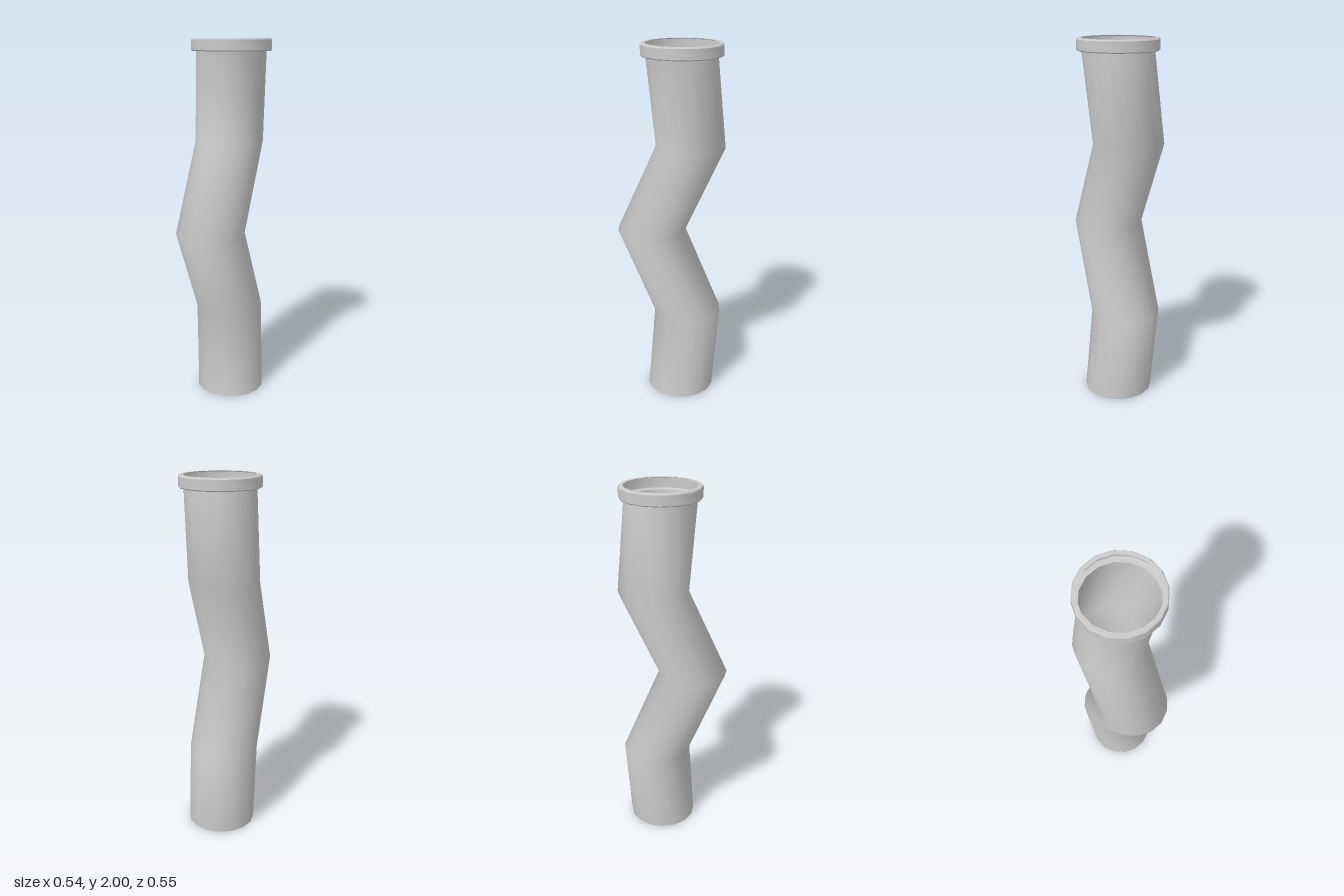
import * as THREE from 'three';
import { mergeVertices, toCreasedNormals } from 'three/addons/utils/BufferGeometryUtils.js';

const SIDES = 16;
const RADIUS = 0.19;
const material = new THREE.MeshStandardMaterial({ color: 0xcccccc, side: THREE.DoubleSide });

// Centre of each level ring of the bent pipe, from floor to neck
const path = [
  [0.053, 0, -0.026],
  [0.053, 0.485, -0.07],
  [-0.083, 0.967, 0.085],
  [0.053, 1.45, -0.085],
  [0.053, 1.935, -0.026],
].map((p) => new THREE.Vector3(...p));

// Straight open tube whose rings are slid sideways onto the path
function bentPipe() {
  const profile = path.map((p) => new THREE.Vector2(RADIUS, p.y));
  let geometry = new THREE.LatheGeometry(profile, SIDES);
  const pos = geometry.attributes.position;
  for (let i = 0; i < pos.count; i++) {
    const centre = path[i % path.length];
    pos.setXYZ(i, pos.getX(i) + centre.x, pos.getY(i), pos.getZ(i) + centre.z);
  }
  // Weld the seam so the wall shades smoothly all round
  geometry.deleteAttribute('uv');
  geometry.deleteAttribute('normal');
  geometry = mergeVertices(geometry, 1e-4);
  geometry.computeVertexNormals();
  return geometry;
}

// Hollow socket collar: floor, bevelled outer wall and flat top lip
function collar() {
  const profile = [
    [RADIUS, 1.935], [0.212, 1.935], [0.217, 1.94],
    [0.217, 1.993], [0.212, 2], [0.192, 2],
  ].map(([r, y]) => new THREE.Vector2(r, y));
  const geometry = toCreasedNormals(new THREE.LatheGeometry(profile, SIDES), 0.5);
  const top = path[path.length - 1];
  return geometry.translate(top.x, 0, top.z);
}

export function createModel() {
  const model = new THREE.Group();
  model.name = 'bentPipe';
  for (const [name, geometry] of [['pipeWall', bentPipe()], ['socketCollar', collar()]]) {
    const mesh = new THREE.Mesh(geometry, material);
    mesh.name = name;
    model.add(mesh);
  }
  return model;
}
